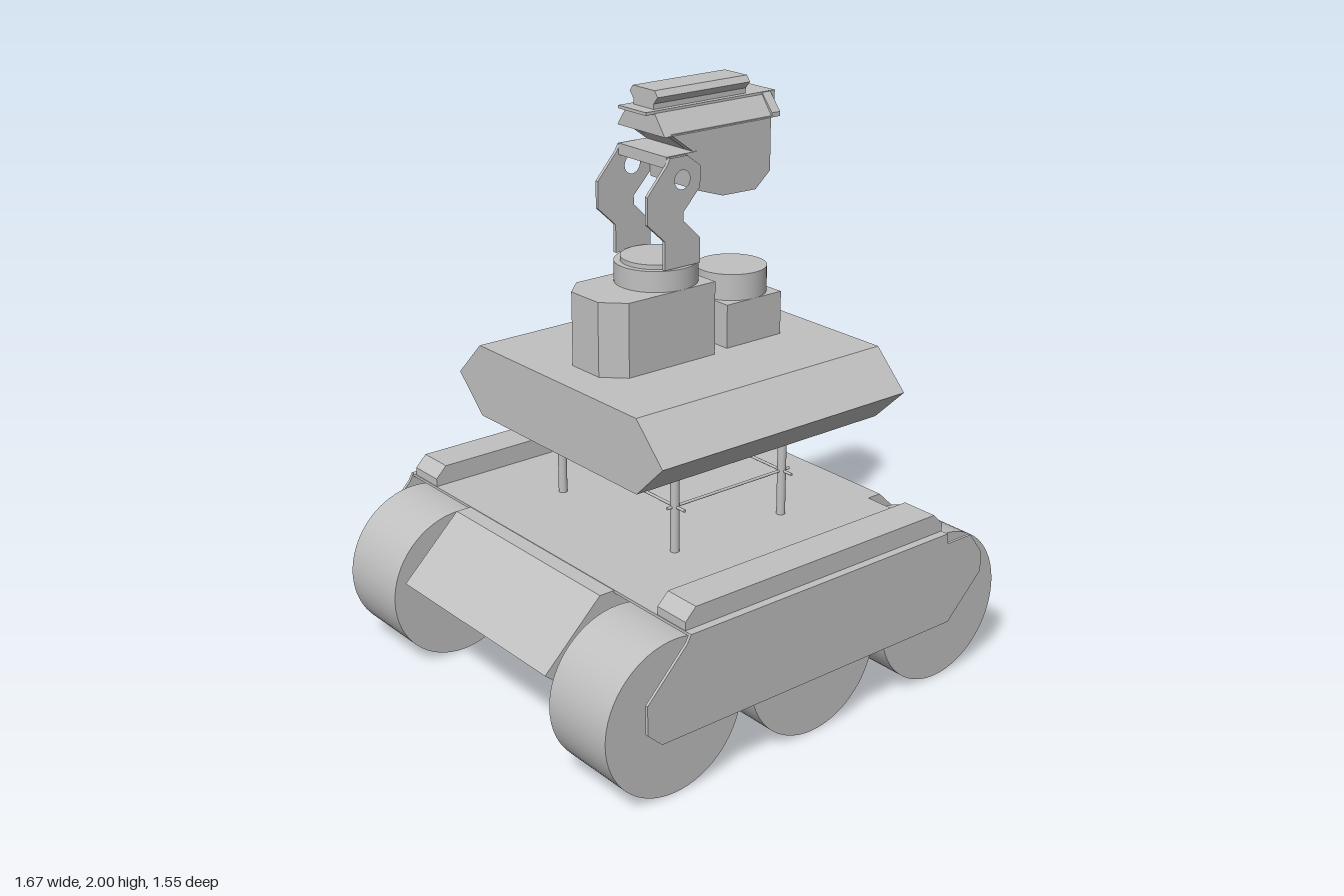
import * as THREE from 'three';

export function createModel() {
  const root = new THREE.Group();
  root.name = 'sixWheeledRover';
  const grey = new THREE.MeshStandardMaterial({ color: 0xc0c0c0 });
  grey.name = 'plain grey';

  const add = (name, geo) => {
    const m = new THREE.Mesh(geo, grey);
    m.name = name;
    root.add(m);
    return m;
  };
  const path = (pts, C = THREE.Shape) => new C(pts.map(p => new THREE.Vector2(p[0], p[1])));
  const mirror = half => [...half, ...half.slice().reverse().map(([u, v]) => [-u, v])];
  // Extrude an outline along an axis between two positions
  const prism = (name, outline, axis, from, to, hole) => {
    const shape = path(outline);
    if (hole) shape.holes.push(hole);
    const g = new THREE.ExtrudeGeometry(shape, { depth: to - from, bevelEnabled: false, curveSegments: 24 });
    g.translate(0, 0, from);
    if (axis === 'x') g.rotateY(Math.PI / 2);
    if (axis === 'y') g.rotateX(-Math.PI / 2);
    return add(name, g);
  };
  const box = (name, x0, x1, y0, y1, z0, z1) => add(name,
    new THREE.BoxGeometry(x1 - x0, y1 - y0, z1 - z0)
      .translate((x0 + x1) / 2, (y0 + y1) / 2, (z0 + z1) / 2));
  const cyl = (name, r, len, axis, x, y, z, seg = 48) => {
    const g = new THREE.CylinderGeometry(r, r, len, seg);
    if (axis === 'x') g.rotateZ(Math.PI / 2);
    if (axis === 'z') g.rotateX(Math.PI / 2);
    return add(name, g.translate(x, y, z));
  };

  // Lower hull with sloped ends
  prism('lowerHull', mirror([[0.61, 0.17], [0.818, 0.35], [0.605, 0.555]]), 'z', -0.4, 0.4);
  box('deckPlate', -0.55, 0.547, 0.547, 0.557, -0.77, 0.77);

  // Wheels, side skirts and fender boxes
  const skirt = [[-0.55, 0.557], [-0.565, 0.53], [-0.715, 0.375], [-0.715, 0.275], [-0.66, 0.225],
    [0.57, 0.225], [0.718, 0.37], [0.718, 0.44], [0.66, 0.52], [0.55, 0.52], [0.547, 0.557]];
  const fender = mirror([[0.548, 0.557], [0.548, 0.585], [0.508, 0.625]]);
  for (const s of [-1, 1]) {
    for (const x of [-0.572, 0, 0.572]) cyl('wheel', 0.265, 0.28, 'z', x, 0.265, s * 0.585, 64);
    prism('sideSkirt', skirt, 'z', s * 0.768 - 0.005, s * 0.768 + 0.005);
    prism('fenderBox', fender, 'z', s * 0.678 - 0.066, s * 0.678 + 0.066);
  }

  // Posts and cross rods carrying the upper hull
  for (const s of [-1, 1]) {
    for (const t of [-1, 1]) cyl('post', 0.015, 0.32, 'y', s * 0.23, 0.71, t * 0.305, 20);
    cyl('rodAlongX', 0.005, 0.525, 'x', 0, 0.715, s * 0.305, 10);
    cyl('rodAlongZ', 0.005, 0.71, 'z', s * 0.23, 0.715, 0, 10);
  }

  // Upper hull: solid prism with a recessed end
  const hex = mirror([[0.42, 0.865], [0.547, 0.987], [0.42, 1.115]]);
  const inner = path(mirror([[0.414, 0.88], [0.527, 0.987], [0.414, 1.1]]), THREE.Path);
  prism('upperHull', hex, 'x', -0.475, 0.445);
  prism('upperHullRim', hex, 'x', 0.445, 0.547, inner);

  // Housings on the roof
  prism('turretHousing', [[0.075, -0.138], [0.075, 0.138], [-0.28, 0.138], [-0.35, 0.07],
    [-0.35, -0.07], [-0.28, -0.138]], 'y', 1.115, 1.365);
  cyl('turretRing', 0.138, 0.07, 'y', -0.06, 1.4, 0);
  cyl('turretDisc', 0.117, 0.015, 'y', -0.06, 1.4425, 0);
  box('sensorBox', 0.143, 0.38, 1.115, 1.265, -0.12, 0.12);
  cyl('sensorDrum', 0.12, 0.09, 'y', 0.262, 1.31, 0);

  // Yoke arms with pivot holes
  const arm = [[-0.13, 1.44], [-0.13, 1.535], [-0.2, 1.6], [-0.2, 1.69], [-0.12, 1.78], [-0.11, 1.8],
    [-0.04, 1.8], [0.013, 1.76], [0.013, 1.69], [-0.055, 1.62], [-0.055, 1.59], [0.013, 1.525], [0.013, 1.44]];
  for (const z of [-0.127, 0.127]) {
    const pivot = new THREE.Path().absarc(-0.06, 1.725, 0.031, 0, Math.PI * 2, true);
    prism('yokeArm', arm, 'z', z - 0.006, z + 0.006, pivot);
  }
  box('yokeBridge', -0.115, 0.01, 1.765, 1.803, -0.121, 0.121);

  // Camera head
  prism('cameraHead', [[-0.12, 1.9], [-0.12, 1.885], [0.0, 1.8], [0.013, 1.675], [0.12, 1.64], [0.27, 1.637],
    [0.305, 1.637], [0.325, 1.69], [0.325, 1.87], [0.325, 1.9]], 'z', -0.085, 0.085);
  for (const s of [-1, 1]) {
    prism('headCheek', [[-0.095, 1.87], [0.0, 1.8], [0.013, 1.675], [0.12, 1.64], [0.26, 1.637],
      [0.322, 1.69], [0.322, 1.87]], 'z', s * 0.1 - 0.018, s * 0.1 + 0.018);
  }
  const roof = mirror([[0.12, 1.865], [0.07, 1.932]]);
  prism('headRoof', roof, 'x', -0.12, 0.325);
  // Visor overhanging the lenses
  prism('visor', [[0.12, 1.865], [0.12, 1.88], [0.07, 1.938], [-0.07, 1.938], [-0.12, 1.88], [-0.12, 1.865],
    [-0.108, 1.865], [-0.064, 1.926], [0.064, 1.926], [0.108, 1.865]], 'x', 0.325, 0.36);
  box('visorTip', 0.36, 0.38, 1.91, 1.938, -0.07, 0.07);
  box('roofPlate', -0.155, 0.38, 1.93, 1.94, -0.07, 0.07);
  cyl('lowerLens', 0.046, 0.06, 'x', 0.355, 1.745, 0);
  cyl('upperLens', 0.056, 0.01, 'x', 0.325, 1.865, 0);

  // Mounting rail on top
  prism('topRail', mirror([[0.05, 1.938], [0.05, 1.957], [0.07, 1.98], [0.055, 2.0]]), 'x', -0.108, 0.272);

  return root;
}
